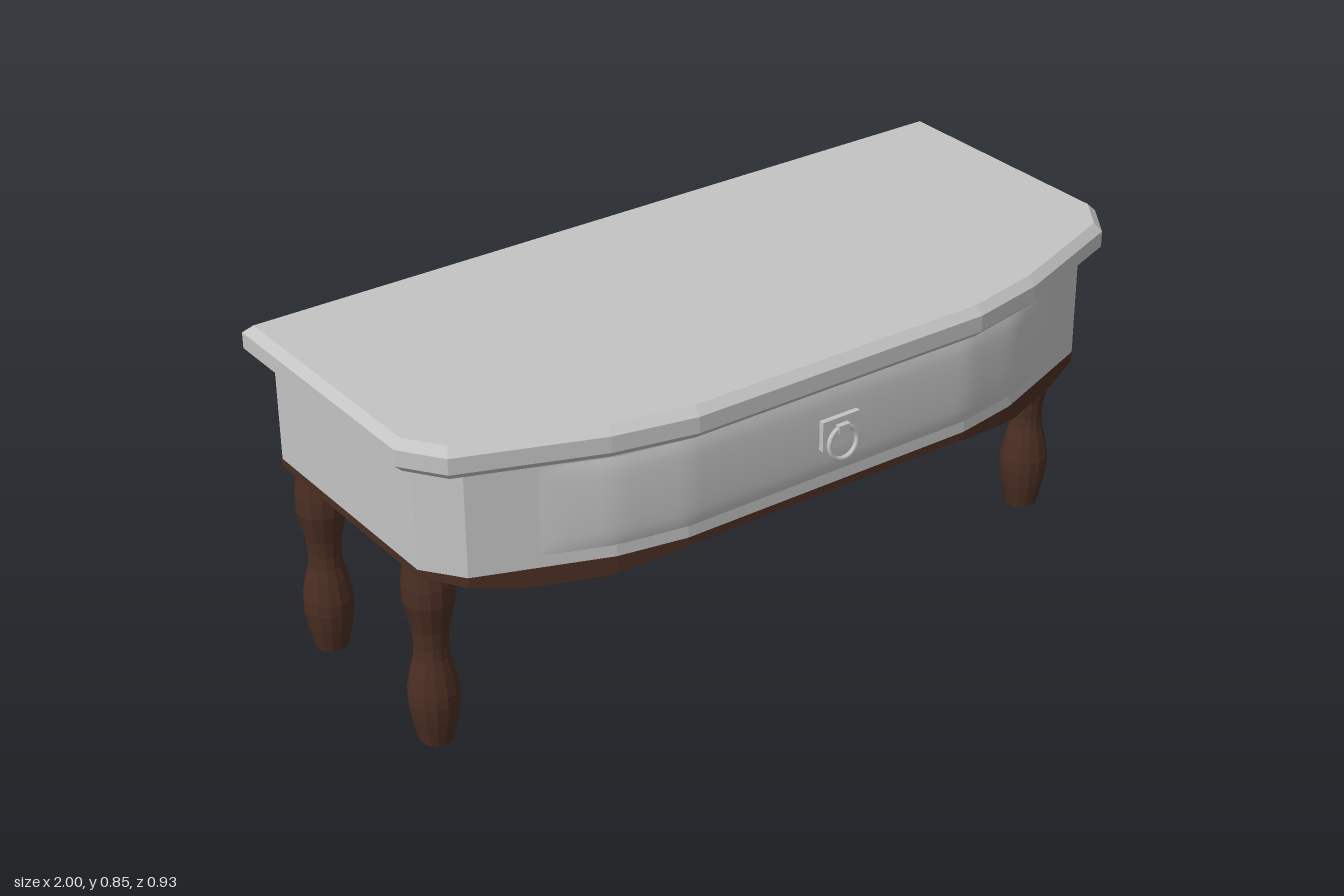
import * as THREE from 'three';

const wood = new THREE.MeshStandardMaterial({ color: 0x4a2e22, flatShading: true });
wood.name = 'darkWood';
const paint = new THREE.MeshStandardMaterial({ color: 0xc4c4c4 });
paint.name = 'greyPaint';

// Half outlines (x, z), from the front centre round to the back
const topEdge = [[0.4, 0.467], [0.6, 0.425], [0.93, 0.3], [1, 0.2], [1, -0.467]];
const bodyEdge = [[0.4, 0.422], [0.57, 0.392], [0.88, 0.275], [0.95, 0.18], [0.95, -0.42]];
const innerEdge = [[0.81, -0.42], [0.81, 0.13]];

const mirrored = (half) => [...half, ...half.map(([x, z]) => [-x, z]).reverse()];

// Piecewise-linear lookup in [[x, value], ...]
function lerpTable(table, x) {
  for (let i = 1; i < table.length; i++) {
    const [x0, v0] = table[i - 1], [x1, v1] = table[i];
    if (x <= x1) return v0 + (v1 - v0) * (x - x0) / (x1 - x0);
  }
  return table[table.length - 1][1];
}

// Plan shape in x-z extruded downward from y = top
function slab(points, top, depth, options = {}) {
  const shape = new THREE.Shape(points.map(([x, z]) => new THREE.Vector2(x, z)));
  const geo = new THREE.ExtrudeGeometry(shape, { depth, bevelEnabled: false, ...options });
  return geo.rotateX(Math.PI / 2).translate(0, top, 0);
}

// Rail lofted along x; each section is {x, front, back, bottom}
function loftRail(sections, top) {
  const pos = [], index = [];
  for (const s of sections) {
    pos.push(s.x, s.bottom, s.back, s.x, s.bottom, s.front, s.x, top, s.front, s.x, top, s.back);
  }
  for (let i = 0; i < sections.length - 1; i++) {
    for (let k = 0; k < 4; k++) {
      const a = i * 4 + k, b = i * 4 + (k + 1) % 4;
      index.push(a, a + 4, b, b, a + 4, b + 4);
    }
  }
  const e = (sections.length - 1) * 4;
  index.push(0, 1, 2, 0, 2, 3, e, e + 2, e + 1, e, e + 3, e + 2);
  const geo = new THREE.BufferGeometry();
  geo.setAttribute('position', new THREE.Float32BufferAttribute(pos, 3));
  geo.setIndex(index);
  const flat = geo.toNonIndexed();
  flat.computeVertexNormals();
  return flat;
}

export function createModel() {
  const root = new THREE.Group();
  root.name = 'lowTable';
  const add = (name, geo, mat, parent = root) => {
    const mesh = new THREE.Mesh(geo, mat);
    mesh.name = name;
    parent.add(mesh);
    return mesh;
  };

  // Bevelled tabletop with a bowed front
  add('tabletop', slab(mirrored(topEdge), 0.83, 0.04, {
    bevelEnabled: true, bevelSize: 0.02, bevelThickness: 0.02, bevelOffset: -0.02, bevelSegments: 1,
  }), paint);

  // U-shaped body, open at the back
  add('body', slab(mirrored([...bodyEdge, ...innerEdge]), 0.775, 0.27), paint);

  // Softly bulging drawer front that follows the bow
  const bow = [[0, 0.422], [0.4, 0.422], [0.57, 0.392], [0.88, 0.275]];
  const drawer = new THREE.PlaneGeometry(1.46, 0.22, 48, 12);
  const p = drawer.attributes.position;
  for (let i = 0; i < p.count; i++) {
    const x = p.getX(i), y = p.getY(i);
    const swell = Math.min(1, (1 - Math.abs(x) / 0.73) * 5) * (1 - (y / 0.11) ** 2);
    p.setXYZ(i, x, y + 0.645, lerpTable(bow, Math.abs(x)) + 0.001 + 0.009 * Math.sqrt(Math.max(0, swell)));
  }
  drawer.computeVertexNormals();
  add('drawerFront', drawer, paint);

  // Ring pull on a small plate
  const pull = new THREE.Group();
  pull.name = 'drawerPull';
  pull.position.set(0.01, 0, 0);
  root.add(pull);
  add('pullPlate', new THREE.BoxGeometry(0.105, 0.075, 0.018).translate(0, 0.648, 0.436), paint, pull);
  add('pullMount', new THREE.BoxGeometry(0.032, 0.018, 0.02).translate(0, 0.661, 0.448), paint, pull);
  const ring = add('pullRing', new THREE.TorusGeometry(0.04, 0.006, 8, 24), paint, pull);
  ring.position.set(0, 0.623, 0.452);
  ring.rotation.x = -0.06;

  // Front apron and back rail, both with dipped ends
  const dip = [[0, 0.485], [0.38, 0.485], [0.6, 0.458], [0.77, 0.458], [0.88, 0.48], [0.95, 0.485]];
  const frontLine = [...bow, [0.95, 0.18]];
  const apronBack = [[0, 0.13], [0.6, 0.13], [0.7, 0.13], [0.82, 0.05], [0.95, 0.05]];
  const railInner = [[0, -0.33], [0.6, -0.33], [0.7, -0.33], [0.82, -0.295], [0.95, -0.295]];
  const half = [0.38, 0.4, 0.57, 0.6, 0.7, 0.77, 0.82, 0.88, 0.95];
  const stations = [...half.map((x) => -x).reverse(), ...half];
  const sections = (front, back) => stations.map((x) => ({
    x, front: lerpTable(front, Math.abs(x)), back: lerpTable(back, Math.abs(x)),
    bottom: lerpTable(dip, Math.abs(x)),
  }));
  add('frontApron', loftRail(sections(frontLine, apronBack), 0.505), wood);
  add('backRail', loftRail(sections(railInner, [[0, -0.42], [0.95, -0.42]]), 0.505), wood);

  // Side rails and turned legs
  const profile = [[0, 0], [0.04, 0], [0.055, 0.065], [0.061, 0.11], [0.061, 0.14], [0.052, 0.19], [0.042, 0.23],
    [0.04, 0.26], [0.044, 0.305], [0.061, 0.38], [0.061, 0.425], [0.051, 0.49]]
    .map(([r, y]) => new THREE.Vector2(r, y));
  const legGeo = new THREE.LatheGeometry(profile, 14);
  for (const side of [1, -1]) {
    const label = side > 0 ? 'left' : 'right';
    add(label + 'SideRail', new THREE.BoxGeometry(0.13, 0.02, 0.36)
      .translate(side * 0.885, 0.495, -0.12), wood);
    for (const [end, z] of [['Front', 0.115], ['Back', -0.363]]) {
      add(label + end + 'Leg', legGeo, wood).position.set(side * 0.89, 0, z);
    }
  }
  return root;
}
